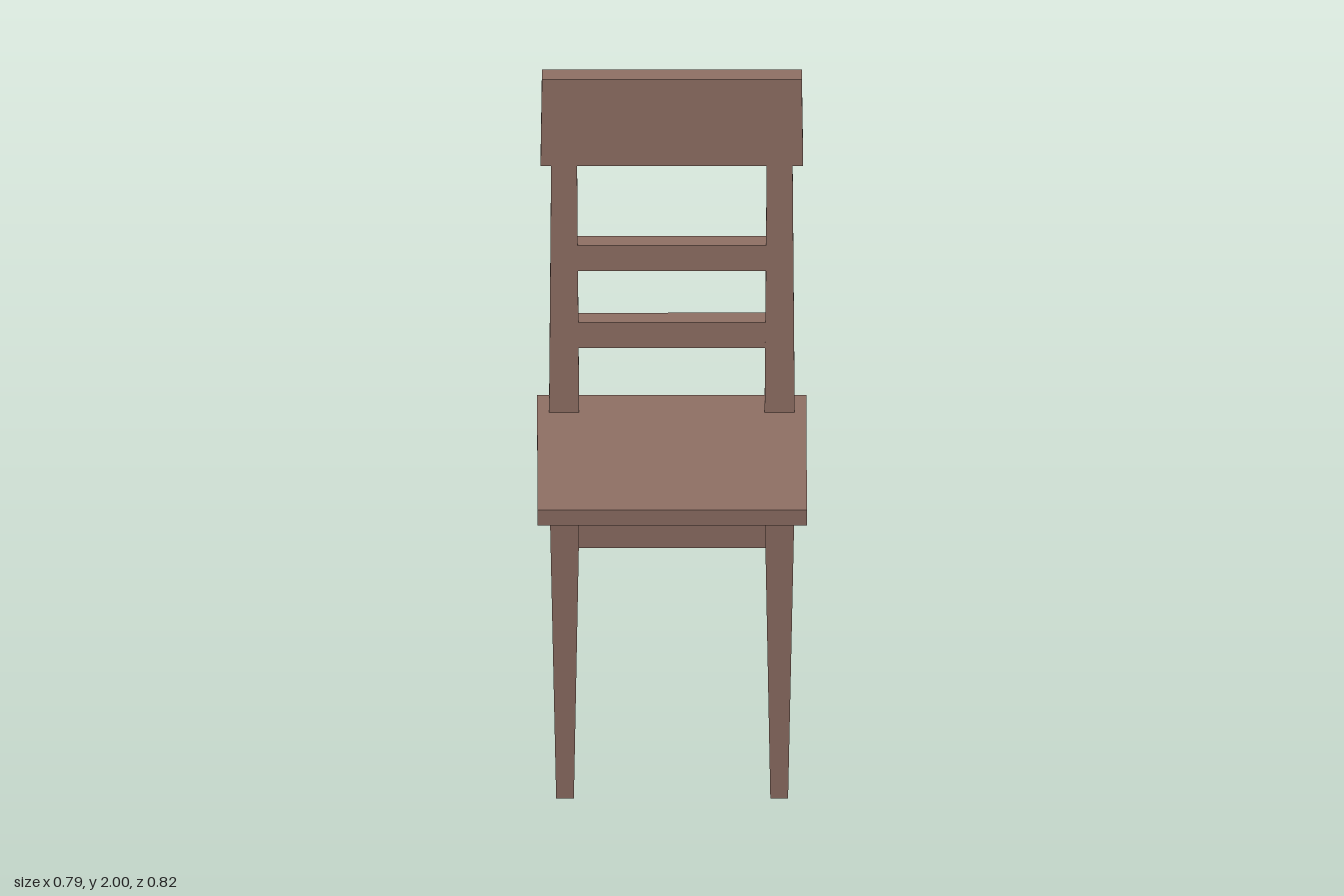
import * as THREE from 'three';

const wood = new THREE.MeshStandardMaterial({ color: 0x8d6e63, flatShading: true });

// Box whose bottom and top rectangles differ; each is [y, x0, x1, z0, z1].
function taperedBar(name, bottom, top) {
  const geometry = new THREE.BoxGeometry(1, 1, 1);
  const p = geometry.attributes.position;
  for (let i = 0; i < p.count; i++) {
    const [y, x0, x1, z0, z1] = p.getY(i) < 0 ? bottom : top;
    p.setXYZ(i, p.getX(i) < 0 ? x0 : x1, y, p.getZ(i) < 0 ? z0 : z1);
  }
  geometry.computeVertexNormals();
  const mesh = new THREE.Mesh(geometry, wood);
  mesh.name = name;
  return mesh;
}

// Straight box given by its limits.
const bar = (name, x0, x1, y0, y1, z0, z1) =>
  taperedBar(name, [y0, x0, x1, z0, z1], [y1, x0, x1, z0, z1]);

// Mirrors an x range to the given side, keeping it in ascending order.
const mirror = (side, a, b) => (side > 0 ? [a, b] : [-b, -a]);

// Front face of the leaning back at height y.
const backFront = (y) => -0.26 - (y - 0.96) * 0.08;

export function createModel() {
  const chair = new THREE.Group();
  chair.name = 'chair';

  chair.add(bar('seat', -0.395, 0.395, 0.91, 0.96, -0.38, 0.412));

  for (const side of [1, -1]) {
    const hand = side > 0 ? 'left' : 'right';
    const foot = mirror(side, 0.288, 0.34);
    const hip = mirror(side, 0.272, 0.358);

    // Tapered legs
    chair.add(taperedBar(`${hand}FrontLeg`, [0, ...foot, 0.307, 0.358], [0.91, ...hip, 0.292, 0.375]));
    chair.add(taperedBar(`${hand}RearLeg`, [0, ...foot, -0.324, -0.272], [0.91, ...hip, -0.34, -0.256]));

    // Side apron and stretcher
    chair.add(bar(`${hand}Apron`, ...mirror(side, 0.293, 0.338), 0.797, 0.91, -0.28, 0.315));
    chair.add(bar(`${hand}Stretcher`, ...mirror(side, 0.293, 0.338), 0.55, 0.6, -0.28, 0.32));

    // Leaning back post
    chair.add(taperedBar(`${hand}BackPost`,
      [0.96, ...mirror(side, 0.272, 0.36), -0.345, backFront(0.96)],
      [1.73, ...mirror(side, 0.278, 0.354), -0.392, backFront(1.73)]));
  }

  // Front and rear aprons
  chair.add(bar('frontApron', -0.3, 0.3, 0.81, 0.91, 0.31, 0.355));
  chair.add(bar('rearApron', -0.3, 0.3, 0.81, 0.91, -0.32, -0.275));

  // Back slats, following the lean of the posts
  for (const [name, y0, y1] of [['lowerSlat', 1.16, 1.24], ['upperSlat', 1.4, 1.48]]) {
    const section = (y) => [y, -0.29, 0.29, backFront(y) - 0.07, backFront(y) - 0.003];
    chair.add(taperedBar(name, section(y0), section(y1)));
  }

  // Wide top rail
  chair.add(taperedBar('topRail',
    [1.73, -0.385, 0.385, -0.394, -0.321],
    [2, -0.381, 0.381, -0.412, -0.343]));

  return chair;
}
